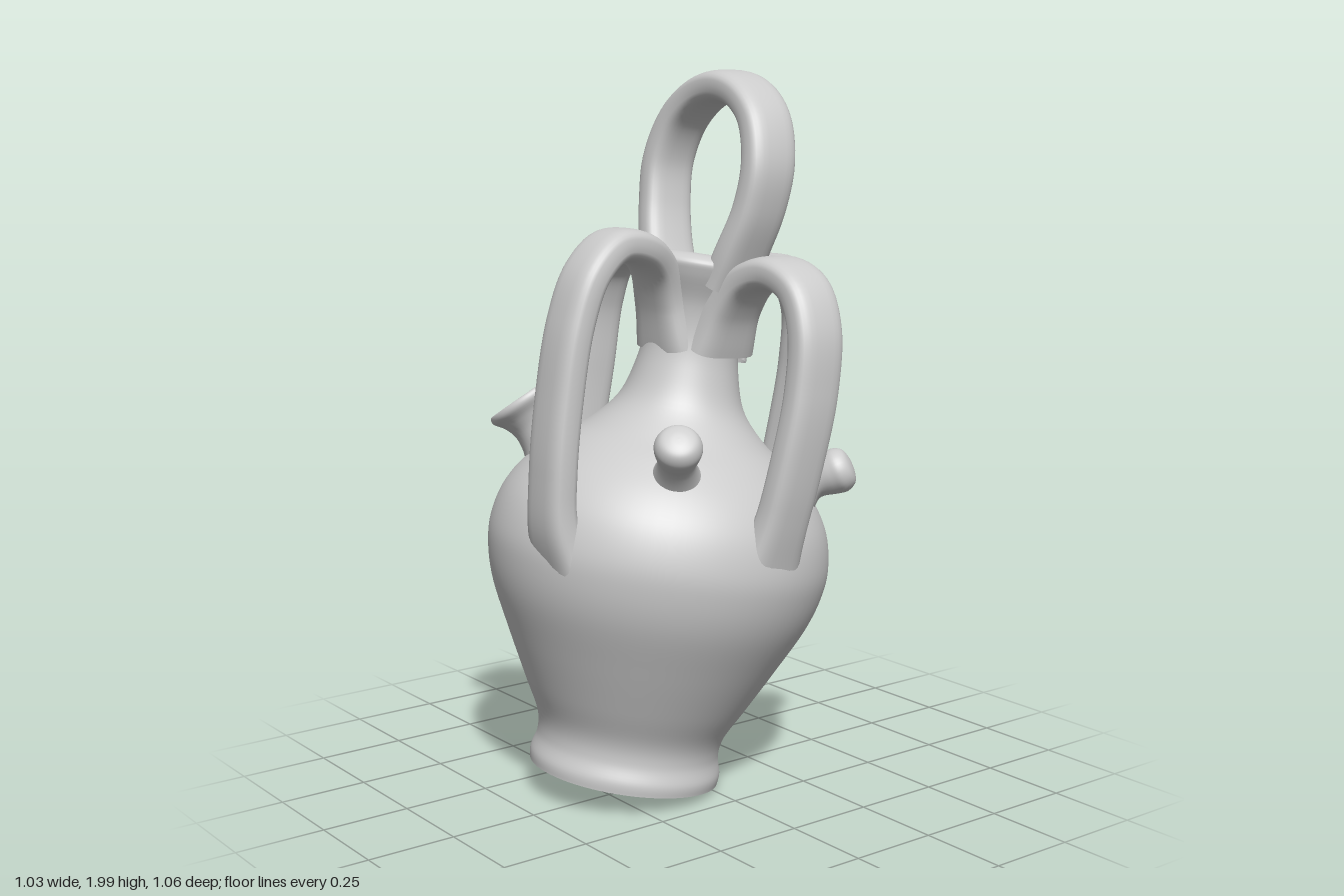
import * as THREE from 'three';

const clay = new THREE.MeshStandardMaterial({ color: 0xcccccc, side: THREE.DoubleSide });
const V = (a) => new THREE.Vector3(...a);
const UP = new THREE.Vector3(0, 1, 0);

function add(parent, name, geometry) {
  const mesh = new THREE.Mesh(geometry, clay);
  mesh.name = name;
  parent.add(mesh);
  return mesh;
}

// Smooth turned shape from a few [radius, height] points
function turned(points, divisions, segments) {
  const curve = new THREE.SplineCurve(points.map(([r, y]) => new THREE.Vector2(r, y)));
  const pts = curve.getPoints(divisions);
  pts.forEach((p) => { p.x = Math.max(p.x, 0); });
  return new THREE.LatheGeometry(pts, segments);
}

// Flat strap with rounded edges swept along a path, flaring where it joins the jug
function strap(path, side, { half = 0.076, thick = 0.044, startFlare = 0.4, endFlare = 0.5 } = {}) {
  const curve = new THREE.CatmullRomCurve3(path.map(V), false, 'centripetal');
  const rows = 80, cols = 28, pos = [], index = [];
  for (let i = 0; i <= rows; i++) {
    const t = i / rows;
    const p = curve.getPointAt(t), T = curve.getTangentAt(t);
    const N = new THREE.Vector3().crossVectors(T, V(side)).normalize();
    const W = new THREE.Vector3().crossVectors(N, T);
    const k = 1 + startFlare * Math.max(0, 1 - t / 0.22) ** 2 + endFlare * Math.max(0, (t - 0.82) / 0.18) ** 2;
    for (let j = 0; j < cols; j++) {
      const a = (j / cols) * Math.PI * 2, c = Math.cos(a), s = Math.sin(a);
      const w = Math.sign(c) * Math.abs(c) ** 0.65 * half * k;
      const n = Math.sign(s) * Math.abs(s) ** 0.65 * thick * k;
      pos.push(p.x + W.x * w + N.x * n, p.y + W.y * w + N.y * n, p.z + W.z * w + N.z * n);
    }
  }
  for (let i = 0; i < rows; i++) {
    for (let j = 0; j < cols; j++) {
      const a = i * cols + j, b = i * cols + ((j + 1) % cols);
      index.push(a, b, a + cols, b, b + cols, a + cols);
    }
  }
  const g = new THREE.BufferGeometry();
  g.setAttribute('position', new THREE.Float32BufferAttribute(pos, 3));
  g.setIndex(index);
  g.computeVertexNormals();
  return g;
}

// Stand a turned part at a point and aim its axis along a direction
function aim(object, from, direction) {
  object.position.copy(V(from));
  object.quaternion.setFromUnitVectors(UP, direction.clone().normalize());
}

export function createModel() {
  const model = new THREE.Group();
  model.name = 'jug';

  // Leaning body: foot, belly, shoulder, neck flaring into a closed top
  const vessel = new THREE.Group();
  vessel.name = 'vessel';
  aim(vessel, [-0.05, 0.055, 0.164], V([0.05, 1.395, -0.24]));
  model.add(vessel);
  add(vessel, 'body', turned([
    [0.268, 0], [0.27, 0.03], [0.258, 0.08], [0.268, 0.14], [0.315, 0.23], [0.382, 0.36],
    [0.445, 0.49], [0.473, 0.59], [0.476, 0.67], [0.453, 0.76], [0.402, 0.84], [0.328, 0.91],
    [0.248, 0.97], [0.177, 1.05], [0.144, 1.15], [0.133, 1.24], [0.142, 1.33],
    [0.175, 1.41], [0.18, 1.445], [0.14, 1.465], [0.07, 1.46], [0, 1.455],
  ], 120, 72));
  const base = add(vessel, 'base', new THREE.CircleGeometry(0.268, 72));
  base.rotation.x = Math.PI / 2;

  // Carrying ring on top
  add(model, 'topRing', strap([
    [-0.125, 1.42, -0.065], [-0.165, 1.51, -0.076], [-0.203, 1.63, -0.1], [-0.213, 1.75, -0.12],
    [-0.17, 1.865, -0.142], [-0.09, 1.933, -0.156], [0.005, 1.956, -0.16], [0.1, 1.933, -0.156],
    [0.183, 1.865, -0.142], [0.226, 1.75, -0.12], [0.214, 1.63, -0.1], [0.17, 1.51, -0.076], [0.13, 1.42, -0.065],
  ], [0, 0, 1], { half: 0.077, thick: 0.043, startFlare: 0.1, endFlare: 0.1 }));

  // Four strap handles springing out of the neck and landing on the shoulder
  add(model, 'frontHandle', strap([
    [-0.01, 1.26, 0.03], [-0.005, 1.38, 0.06], [0.02, 1.475, 0.105], [0.05, 1.53, 0.18], [0.07, 1.541, 0.28],
    [0.088, 1.475, 0.37], [0.092, 1.35, 0.425], [0.092, 1.15, 0.464], [0.092, 0.97, 0.484],
    [0.088, 0.82, 0.482], [0.08, 0.68, 0.43],
  ], [1, 0, 0]));
  add(model, 'rightHandle', strap([
    [-0.075, 1.25, -0.06], [-0.125, 1.37, -0.07], [-0.195, 1.455, -0.075], [-0.3, 1.494, -0.07], [-0.405, 1.45, -0.055],
    [-0.455, 1.34, -0.045], [-0.468, 1.15, -0.02], [-0.465, 0.95, 0.02], [-0.452, 0.8, 0.045], [-0.4, 0.65, 0.06],
  ], [0, 0, 1]));
  add(model, 'leftHandle', strap([
    [0.085, 1.25, -0.065], [0.135, 1.36, -0.075], [0.205, 1.44, -0.085], [0.305, 1.469, -0.095], [0.405, 1.43, -0.095],
    [0.46, 1.33, -0.085], [0.472, 1.17, -0.065], [0.458, 1, -0.035], [0.425, 0.82, -0.005], [0.37, 0.66, 0.02],
  ], [0, 0, 1]));
  add(model, 'backHandle', strap([
    [0.005, 1.22, -0.115], [0.005, 1.33, -0.165], [-0.005, 1.408, -0.235], [-0.02, 1.444, -0.34], [-0.035, 1.414, -0.43],
    [-0.04, 1.32, -0.483], [-0.045, 1.17, -0.482], [-0.05, 1, -0.452], [-0.055, 0.82, -0.407], [-0.055, 0.65, -0.34],
  ], [1, 0, 0]));

  // Stout pouring spout with a flared rim and a shallow mouth
  const spout = add(model, 'spout', turned([
    [0.19, -0.05], [0.13, 0.01], [0.09, 0.07], [0.079, 0.125], [0.09, 0.165],
    [0.11, 0.195], [0.107, 0.213], [0.093, 0.214], [0.082, 0.208], [0.04, 0.206], [0, 0.206],
  ], 48, 36));
  aim(spout, [-0.216, 0.925, 0.238], V([-0.42, 0.82, 0.39]));

  // Three round-headed knobs: root and head centre
  const knobs = [
    ['frontLeftKnob', [0.19, 0.875, 0.165], [0.335, 1.04, 0.262]],
    ['backLeftKnob', [0.185, 0.83, -0.175], [0.305, 0.91, -0.308]],
    ['backRightKnob', [-0.18, 0.835, -0.16], [-0.312, 0.965, -0.285]],
  ];
  for (const [name, root, head] of knobs) {
    const dir = V(head).sub(V(root)), L = dir.length();
    const knob = add(model, name, turned([
      [0.17, 0], [0.112, 0.05], [0.07, 0.1], [0.05, L - 0.065], [0.059, L - 0.02],
      [0.063, L + 0.01], [0.05, L + 0.036], [0.025, L + 0.046], [0, L + 0.048],
    ], 40, 32));
    aim(knob, root, dir);
  }

  return model;
}
